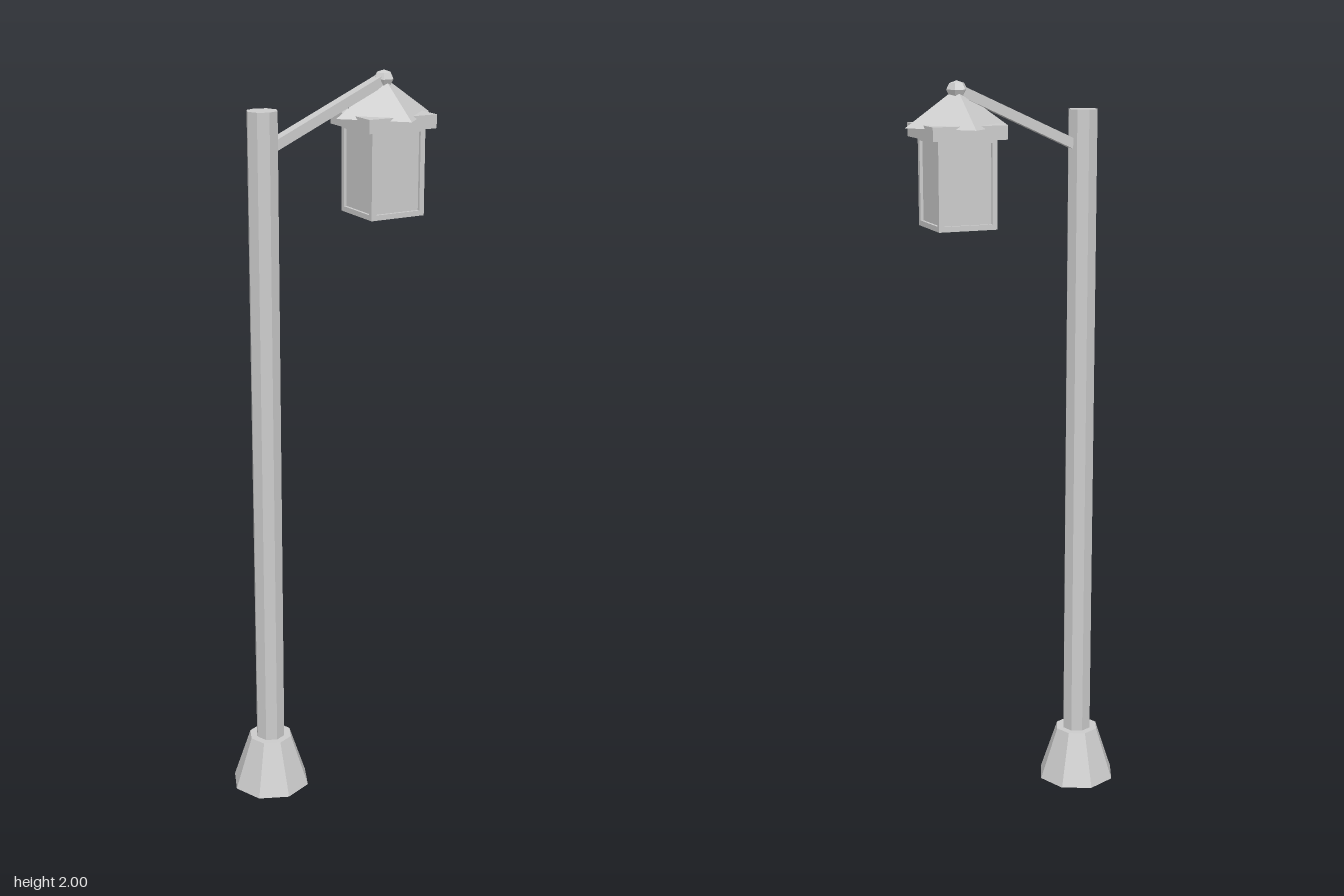
import * as THREE from 'three';

const POLE_X = -0.193, LAMP_X = 0.161;

export function createModel() {
  const root = new THREE.Group();
  const mat = new THREE.MeshStandardMaterial({ color: 0xcccccc, flatShading: true });

  const add = (name, geo, x, y, z = 0, parent = root) => {
    const mesh = new THREE.Mesh(geo, mat);
    mesh.name = name;
    mesh.position.set(x, y, z);
    parent.add(mesh);
    return mesh;
  };

  // Octagonal post on a flared foot
  add('base', new THREE.CylinderGeometry(0.061, 0.111, 0.15, 8), POLE_X, 0.075);
  add('pole', new THREE.CylinderGeometry(0.041, 0.041, 1.82, 8), POLE_X, 1.01);

  // Sloping arm from inside the pole to the roof peak
  const from = new THREE.Vector2(-0.175, 1.825), to = new THREE.Vector2(LAMP_X - 0.008, 1.974);
  const span = to.clone().sub(from);
  const arm = add('arm', new THREE.BoxGeometry(span.length(), 0.026, 0.032),
    (from.x + to.x) / 2, (from.y + to.y) / 2);
  arm.rotation.z = span.angle();

  // Lantern
  const lantern = new THREE.Group();
  lantern.name = 'lantern';
  lantern.position.x = LAMP_X;
  root.add(lantern);

  const half = 0.08, bar = 0.014, bottom = 1.625, top = 1.86;
  const height = top - bottom, off = half - bar / 2, inner = 2 * (half - bar);
  add('glass', new THREE.BoxGeometry(0.144, height - 0.01, 0.144), 0, (top + bottom) / 2, 0, lantern);
  add('lanternFloor', new THREE.BoxGeometry(2 * half, bar, 2 * half), 0, bottom + bar / 2, 0, lantern);

  // Corner posts and top rails framing the recessed panes
  for (const s of [-1, 1]) {
    for (const t of [-1, 1]) {
      add('cornerPost', new THREE.BoxGeometry(bar, height - bar, bar),
        s * off, (top + bottom + bar) / 2, t * off, lantern);
    }
    add('topRail', new THREE.BoxGeometry(inner, bar, bar), 0, top - bar / 2, s * off, lantern);
    add('topRail', new THREE.BoxGeometry(bar, bar, inner), s * off, top - bar / 2, 0, lantern);
  }

  // Square collar, with the pyramid roof turned 45 degrees to it
  add('collar', new THREE.BoxGeometry(0.202, 0.036, 0.202), 0, 1.873, 0, lantern);
  add('roof', new THREE.ConeGeometry(0.141, 0.098, 4), 0, 1.932, 0, lantern);

  // Faceted knob on the peak
  const knob = add('knob', new THREE.SphereGeometry(0.0285, 6, 4), 0, 1.977, 0, lantern);
  knob.scale.y = 0.8;

  return root;
}
